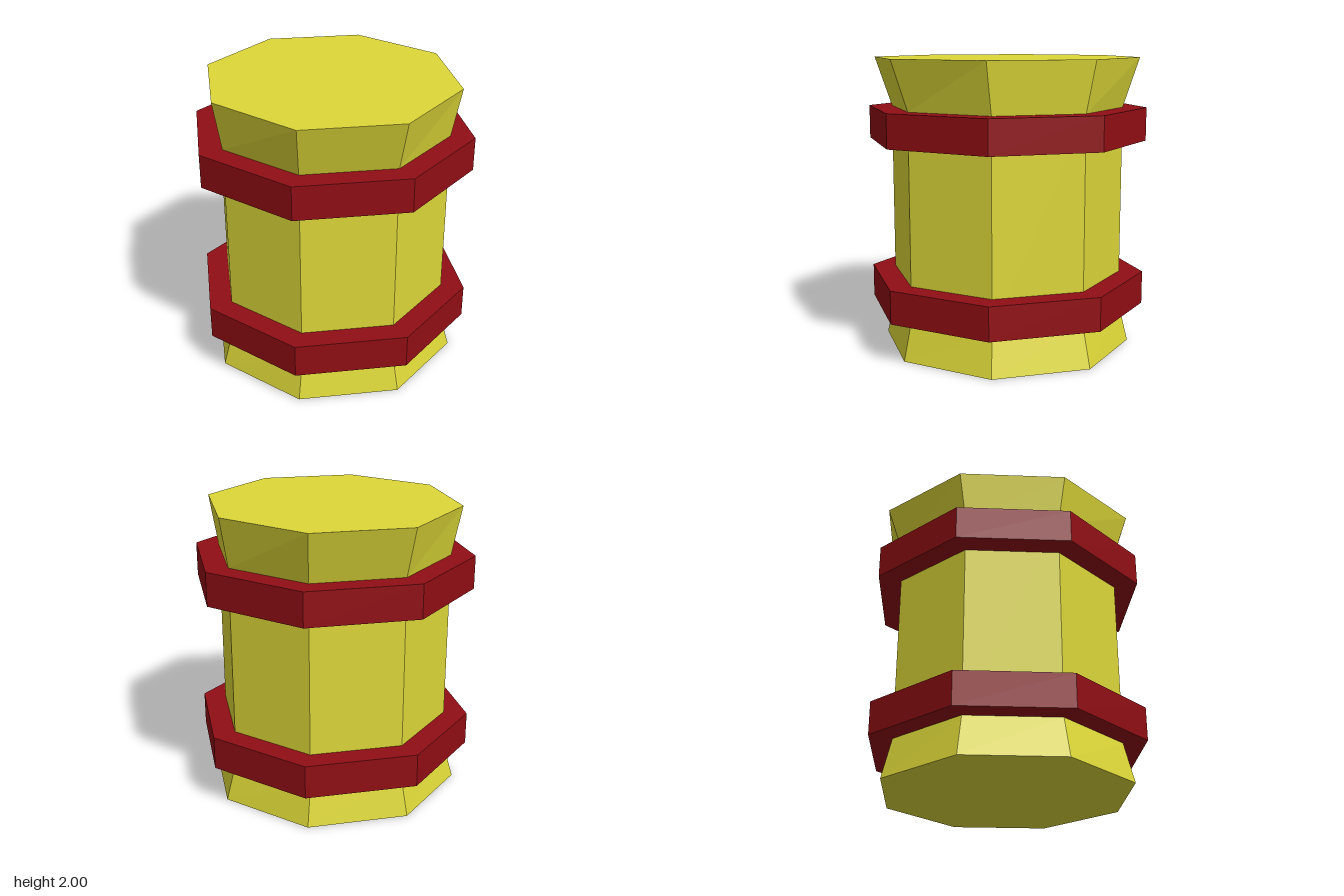
import * as THREE from 'three';

const SIDES = 8;
const toRadius = 1 / Math.cos(Math.PI / SIDES); // flat half-width to corner radius

// Upright octagonal prism of half-width w, with flat faces toward x and z
function octagon(w, height, rows = 1) {
  const r = w * toRadius;
  return new THREE.CylinderGeometry(r, r, height, SIDES, rows, false, Math.PI / SIDES);
}

export function createModel() {
  const group = new THREE.Group();
  const yellow = new THREE.MeshStandardMaterial({ color: 0xdcd738, flatShading: true });
  const red = new THREE.MeshStandardMaterial({ color: 0x900e14, flatShading: true });

  // Body: straight middle, flared at both ends; rows hold [y, half-width x, half-width z]
  const rows = [[0, 0.82, 0.805], [0.275, 0.745, 0.745], [1.66, 0.745, 0.745], [2, 0.797, 0.856]];
  const bodyGeometry = octagon(1, 3, 3);
  const pos = bodyGeometry.attributes.position;
  for (let i = 0; i < pos.count; i++) {
    const [y, wx, wz] = rows[Math.round(pos.getY(i) + 1.5)];
    pos.setXYZ(i, pos.getX(i) * wx, y, pos.getZ(i) * wz);
  }
  bodyGeometry.computeVertexNormals();
  const body = new THREE.Mesh(bodyGeometry, yellow);
  body.name = 'body';
  group.add(body);

  // Two bands around the body
  for (const [name, y] of [['lowerBand', 0.39], ['upperBand', 1.547]]) {
    const band = new THREE.Mesh(octagon(0.895, 0.228), red);
    band.name = name;
    band.position.y = y;
    group.add(band);
  }
  return group;
}
